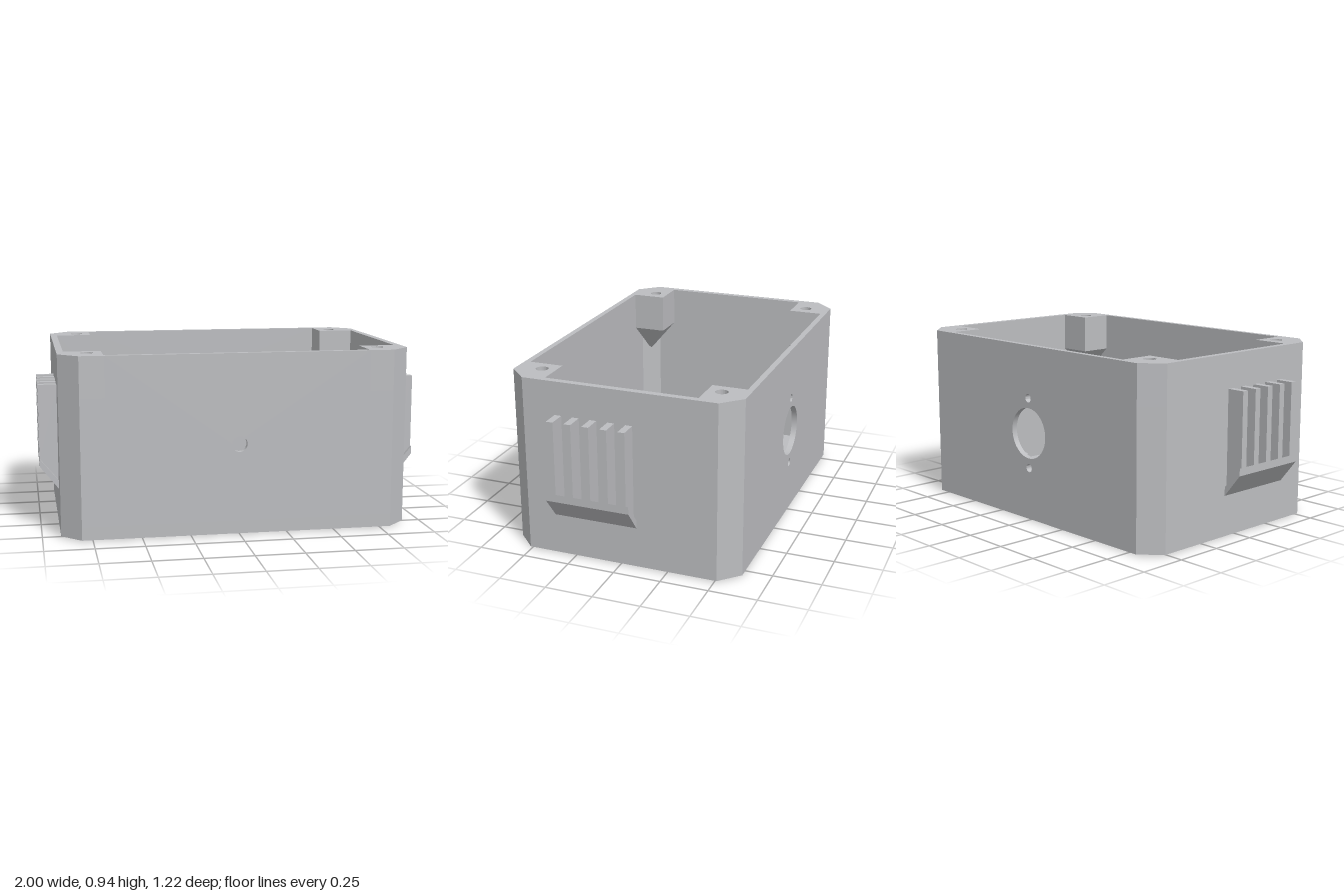
import * as THREE from 'three';
import { toCreasedNormals } from 'three/addons/utils/BufferGeometryUtils.js';
import { ConvexGeometry } from 'three/addons/geometries/ConvexGeometry.js';

const bodyGrey = new THREE.MeshStandardMaterial({ color: 0xbcbdc0 });
bodyGrey.name = 'body grey';
const stripeYellow = new THREE.MeshStandardMaterial({ color: 0xd4aa20 });
stripeYellow.name = 'stripe yellow';
const stripeBlack = new THREE.MeshStandardMaterial({ color: 0x1a1a1a });
stripeBlack.name = 'stripe black';

const HEIGHT = 0.935, BASE = 0.004, FLOOR = 0.07, POST = 0.725;

const poly = (pts) => new THREE.Shape(pts.map(([x, y]) => new THREE.Vector2(x, y)));
const circle = (x, y, r) => new THREE.Path().absarc(x, y, r, 0, Math.PI * 2, false);

function withHoles(shape, holes) {
  shape.holes.push(...holes);
  return shape;
}

function extrude(shape, depth) {
  const geo = new THREE.ExtrudeGeometry(shape, { depth, bevelEnabled: false, curveSegments: 32 });
  return toCreasedNormals(geo, 0.5);
}

// Horizontal slab: shape (x, z) filled between two heights
const slab = (shape, y0, y1) => extrude(shape, y1 - y0).rotateX(Math.PI / 2).translate(0, y1, 0);

// Upright plate: shape (x, y) filled between two depths
const plate = (shape, z0, z1) => extrude(shape, z1 - z0).translate(0, 0, z0);

export function createModel() {
  const model = new THREE.Group();
  model.name = 'enclosure';
  const add = (name, geo, mat = bodyGrey) => {
    const mesh = new THREE.Mesh(geo, mat);
    mesh.name = name;
    model.add(mesh);
    return mesh;
  };

  // Floor in three layers: shallow outer recess, hole, keyhole pocket on top
  const outline = () => poly([
    [0.805, 0.61], [0.905, 0.51], [0.905, -0.51], [0.805, -0.61],
    [-0.805, -0.61], [-0.905, -0.51], [-0.905, 0.51], [-0.805, 0.61],
  ]);
  const rounds = (r) => [-1, 1].map((s) => circle(s * 0.42, 0.1, r));
  const a = Math.asin(0.13 / 0.27);
  const keyhole = new THREE.Path().moveTo(0.105, -0.03)
    .absarc(0.42, 0.1, 0.27, Math.PI + a, 3 * Math.PI - a, false)
    .lineTo(0.105, 0.23).getPoints(32);
  const pockets = [-1, 1].map((s) =>
    new THREE.Path(keyhole.map((p) => new THREE.Vector2(s * p.x, p.y))));
  add('floorRecess', slab(withHoles(outline(), rounds(0.35)), BASE, 0.018));
  add('floorPlate', slab(withHoles(outline(), rounds(0.245)), 0.018, 0.05));
  add('floorPocket', slab(withHoles(outline(), pockets), 0.05, FLOOR));
  add('floorBridge', slab(poly([[-0.105, -0.58], [0.105, -0.58], [0.105, 0.065], [-0.105, 0.065]]),
    FLOOR, 0.09));

  // Screw bosses on the floor
  for (const s of [-1, 1]) {
    for (const [x, z] of [[0.655, -0.16], [0.18, 0.355]]) {
      const ring = new THREE.Shape().absarc(s * x, z, 0.057, 0, Math.PI * 2, false);
      add('screwBoss', slab(withHoles(ring, [circle(s * x, z, 0.031)]), FLOOR, 0.17));
    }
  }

  // Front and back walls with their openings
  const panel = () => poly([[-0.68, FLOOR], [0.68, FLOOR], [0.68, HEIGHT], [-0.68, HEIGHT]]);
  add('frontWall', plate(withHoles(panel(), [circle(0, 0.47, 0.04)]), 0.58, 0.61));
  add('backWall', plate(withHoles(panel(), [
    circle(0, 0.47, 0.135), circle(0, 0.657, 0.022), circle(0, 0.283, 0.022),
  ]), -0.61, -0.58));

  // Chamfered ends, with corner posts in the upper part
  const endOuter = [
    [0.68, 0.61], [0.805, 0.61], [0.905, 0.51], [0.905, -0.51], [0.805, -0.61], [0.68, -0.61],
  ];
  const endInner = [[0.68, -0.58], [0.785, -0.58], [0.87, -0.495], [0.87, 0.495], [0.785, 0.58], [0.68, 0.58]];
  const postInner = [[0.68, -0.4], [0.87, -0.4], [0.87, 0.4], [0.68, 0.4]];
  for (const turn of [0, Math.PI]) {
    add('endWall', slab(poly([...endOuter, ...endInner]), FLOOR, POST)).rotation.y = turn;
    const screwHoles = [-1, 1].map((s) => circle(0.755, s * 0.475, 0.032));
    add('cornerPosts', slab(withHoles(poly([...endOuter, ...postInner]), screwHoles), POST, HEIGHT))
      .rotation.y = turn;

    // Tapered supports under the posts
    for (const s of [-1, 1]) {
      const pts = [[0.68, 0.4], [0.87, 0.4], [0.87, 0.495], [0.785, 0.58], [0.68, 0.58]]
        .map(([x, z]) => new THREE.Vector3(x, POST, s * z));
      pts.push(new THREE.Vector3(0.835, 0.55, s * 0.545));
      add('postTaper', new ConvexGeometry(pts)).rotation.y = turn;
    }
  }

  // Side grips: slanted shelf with five upright fins
  for (const s of [-1, 1]) {
    const side = (pts) => poly(pts.map(([x, y]) => [s * x, y]));
    add('gripShelf', plate(side([[0.9, 0.21], [1, 0.335], [1, 0.375], [0.9, 0.255]]), -0.088, 0.357));
    for (let i = 0; i < 5; i++) {
      const z = -0.075 + i * 0.0943;
      add('gripFin', plate(side([[0.9, 0.25], [1, 0.37], [1, 0.76], [0.9, 0.76]]), z, z + 0.036));
    }
  }

  // Hazard strip on the underside
  const [l, z0, z1, r] = [0.64, -0.4, -0.29, 0.03];
  const strip = new THREE.Shape()
    .absarc(l - r, z1 - r, r, 0, Math.PI / 2, false)
    .absarc(-l + r, z1 - r, r, Math.PI / 2, Math.PI, false)
    .absarc(-l + r, z0 + r, r, Math.PI, Math.PI * 1.5, false)
    .absarc(l - r, z0 + r, r, Math.PI * 1.5, Math.PI * 2, false);
  add('hazardStrip', slab(strip, 0.002, BASE), stripeBlack);
  for (let i = 0; i < 10; i++) {
    const x = -0.615 + i * 0.1175;
    add('hazardStripe', slab(poly([[x, z1], [x + 0.062, z1], [x + 0.172, z0], [x + 0.11, z0]]), 0, 0.002),
      stripeYellow);
  }
  return model;
}
